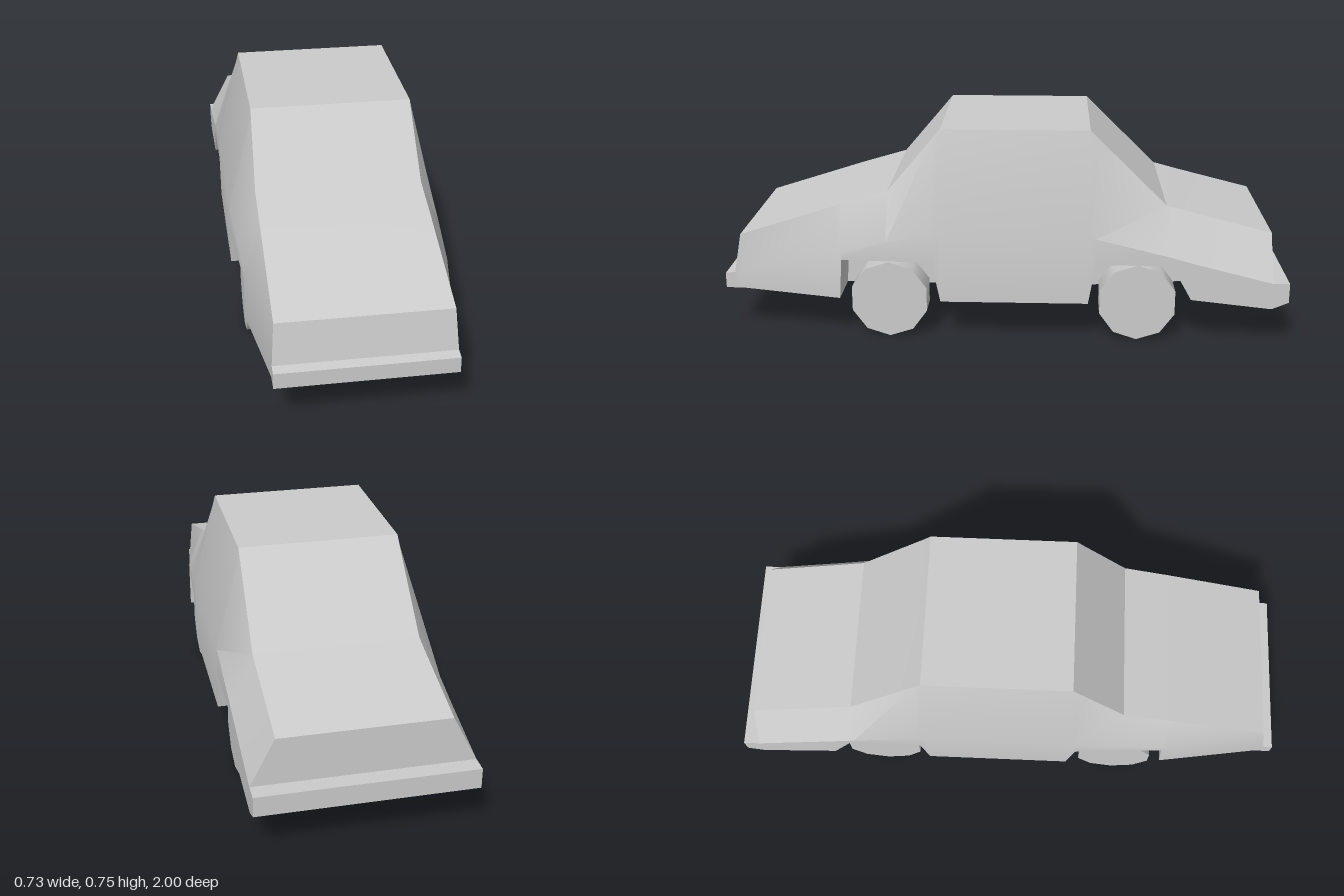
import * as THREE from 'three';
import { toCreasedNormals } from 'three/addons/utils/BufferGeometryUtils.js';

// Body stations, front to rear:
// z, top height, top half-width, shoulder height, shoulder half-width, sill height, floor height
const STATIONS = [
  [1.0, 0.215, 0.295, 0.215, 0.295, 0.16, 0.16], // front bumper
  [0.965, 0.22, 0.295, 0.22, 0.295, 0.16, 0.16],
  [0.94, 0.36, 0.285, 0.22, 0.295, 0.16, 0.16], // nose
  [0.58, 0.475, 0.285, 0.32, 0.345, 0.145, 0.145], // front arch
  [0.57, 0.478, 0.285, 0.322, 0.345, 0.29, 0.145],
  [0.41, 0.525, 0.285, 0.36, 0.355, 0.29, 0.145], // windscreen base
  [0.25, 0.714, 0.279, 0.388, 0.364, 0.29, 0.145],
  [0.22, 0.75, 0.278, 0.39, 0.365, 0.145, 0.145], // roof
  [-0.3, 0.75, 0.278, 0.39, 0.365, 0.145, 0.145],
  [-0.325, 0.725, 0.278, 0.385, 0.365, 0.29, 0.146], // rear arch
  [-0.57, 0.485, 0.283, 0.325, 0.365, 0.29, 0.16], // boot lid
  [-0.59, 0.48, 0.283, 0.32, 0.365, 0.29, 0.161],
  [-0.66, 0.461, 0.283, 0.3, 0.365, 0.165, 0.165],
  [-0.94, 0.39, 0.283, 0.23, 0.365, 0.135, 0.135], // tail
  [-0.942, 0.23, 0.365, 0.23, 0.365, 0.135, 0.135],
  [-1.0, 0.23, 0.365, 0.23, 0.365, 0.16, 0.16], // rear bumper
];
const ARCH_INNER = 0.18; // half-width of the floor between the wheel wells

// Closed outline of one station, clockwise seen from the front
function ring([z, topY, topW, shoulderY, shoulderW, sillY, floorY]) {
  const half = [
    [topW, topY], [shoulderW, shoulderY], [shoulderW, sillY],
    [ARCH_INNER, sillY], [ARCH_INNER, floorY],
  ];
  const mirrored = half.map(([x, y]) => [-x, y]).reverse();
  return [...half, ...mirrored].map(([x, y]) => new THREE.Vector3(x, y, z));
}

function bodyGeometry() {
  const rings = STATIONS.map(ring);
  const n = rings[0].length;
  const positions = [];
  const tri = (a, b, c) => {
    if (new THREE.Triangle(a, b, c).getArea() < 1e-8) return;
    for (const p of [a, b, c]) positions.push(p.x, p.y, p.z);
  };
  // Skin between neighbouring stations, including the wheel wells
  for (let i = 0; i < rings.length - 1; i++) {
    const front = rings[i], rear = rings[i + 1];
    for (let j = 0; j < n; j++) {
      const k = (j + 1) % n;
      tri(front[j], front[k], rear[j]);
      tri(front[k], rear[k], rear[j]);
    }
  }
  // Bumper end faces
  const first = rings[0], last = rings[rings.length - 1];
  for (let j = 1; j < n - 1; j++) {
    tri(first[0], first[j + 1], first[j]);
    tri(last[0], last[j], last[j + 1]);
  }
  const geometry = new THREE.BufferGeometry();
  geometry.setAttribute('position', new THREE.Float32BufferAttribute(positions, 3));
  return toCreasedNormals(geometry, 0.45);
}

export function createModel() {
  const group = new THREE.Group();
  group.name = 'car';
  const material = new THREE.MeshStandardMaterial({ color: 0xcccccc });

  const body = new THREE.Mesh(bodyGeometry(), material);
  body.name = 'body';
  group.add(body);

  // Ten-sided wheels with a corner at the bottom
  const wheelGeometry = new THREE.CylinderGeometry(0.14, 0.14, 0.102, 10);
  wheelGeometry.rotateX(Math.PI / 2).rotateY(Math.PI / 2);
  for (const [end, z] of [['front', 0.405], ['rear', -0.475]]) {
    for (const [side, sign] of [['Left', 1], ['Right', -1]]) {
      const wheel = new THREE.Mesh(wheelGeometry, material);
      wheel.name = `${end}${side}Wheel`;
      wheel.position.set(sign * 0.285, 0.14, z);
      group.add(wheel);
    }
  }
  return group;
}
